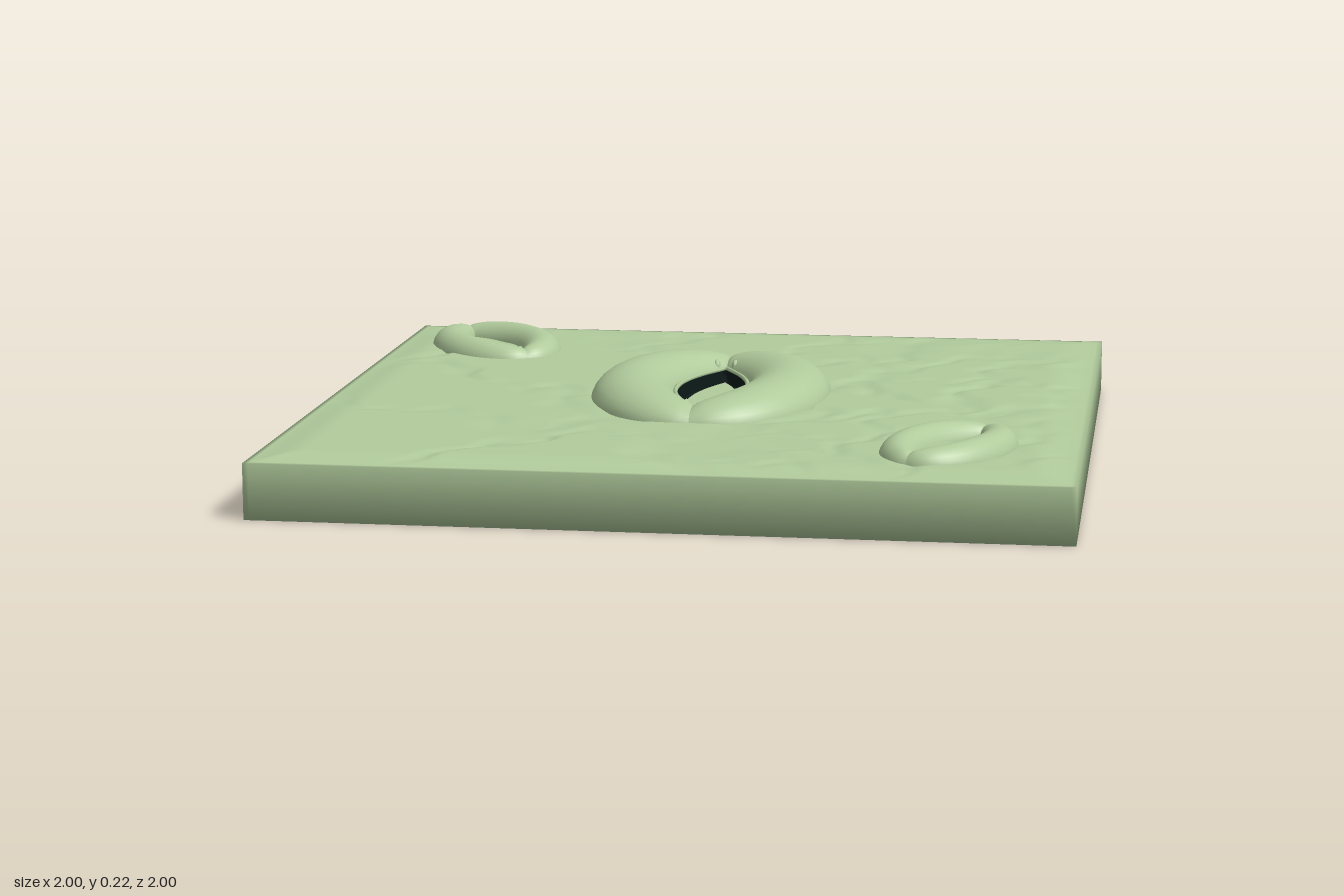
import * as THREE from 'three';

const leaf = new THREE.MeshStandardMaterial({ color: 0xb1cb9c, side: THREE.DoubleSide });
leaf.name = 'leaf green';
const dark = new THREE.MeshStandardMaterial({ color: 0x0c1a18, side: THREE.DoubleSide });
dark.name = 'pore dark';

function seeded(seed) {
  return () => {
    seed = (seed * 16807) % 2147483647;
    return seed / 2147483647;
  };
}

function geometryFrom(positions, indices) {
  const g = new THREE.BufferGeometry();
  g.setAttribute('position', new THREE.Float32BufferAttribute(positions, 3));
  g.setIndex(indices);
  g.computeVertexNormals();
  return g;
}

function addMesh(parent, name, geometry, material) {
  const mesh = new THREE.Mesh(geometry, material);
  mesh.name = name;
  parent.add(mesh);
  return mesh;
}

// Height of the leaf skin: wavy plates separated by shallow creases
const rand = seeded(77);
const cells = Array.from({ length: 34 }, () => [rand() * 2.2 - 1.1, rand() * 2.2 - 1.1, rand()]);
function skinHeight(x, z) {
  const u = x + 0.045 * Math.sin(17 * z + 4 * x) + 0.02 * Math.sin(39 * z - 11 * x);
  const v = z + 0.045 * Math.sin(16 * x - 5 * z + 1) + 0.02 * Math.sin(41 * x + 9 * z);
  let d1 = 9, d2 = 9, tier = 0;
  for (const [cx, cz, h] of cells) {
    const d = Math.hypot(u - cx, v - cz);
    if (d < d1) { d2 = d1; d1 = d; tier = h; } else if (d < d2) d2 = d;
  }
  const plate = THREE.MathUtils.smoothstep(d2 - d1, 0, 0.09);
  const ramp = THREE.MathUtils.smoothstep(1 - Math.max(Math.abs(x), Math.abs(z)), 0, 0.12);
  const y = 0.14 + ramp * (0.009 + plate * (0.004 + 0.005 * tier));
  // sink the floor beneath the central pore
  const pit = 1 - THREE.MathUtils.smoothstep(Math.hypot(x / 0.22, z / 0.37), 0.8, 1);
  return THREE.MathUtils.lerp(y, 0.1, pit);
}

// Slab: bumpy top grid, skirt and underside sharing vertices for soft edges
function slabGeometry(n = 140) {
  const pos = [], idx = [], row = n + 1;
  for (let j = 0; j <= n; j++) for (let i = 0; i <= n; i++) {
    const x = (2 * i) / n - 1, z = (2 * j) / n - 1;
    pos.push(x, skinHeight(x, z), z);
  }
  for (let j = 0; j < n; j++) for (let i = 0; i < n; i++) {
    const a = j * row + i, b = a + 1, c = a + row, d = c + 1;
    idx.push(a, c, b, b, c, d);
  }
  const rim = [];
  for (let k = 0; k < n; k++) rim.push(k);
  for (let k = 0; k < n; k++) rim.push(k * row + n);
  for (let k = n; k > 0; k--) rim.push(n * row + k);
  for (let k = n; k > 0; k--) rim.push(k * row);
  const base = pos.length / 3, m = rim.length;
  rim.forEach((r) => pos.push(pos[3 * r], 0, pos[3 * r + 2]));
  pos.push(0, 0, 0);
  for (let k = 0; k < m; k++) {
    const q = (k + 1) % m;
    idx.push(rim[k], rim[q], base + k, rim[q], base + q, base + k);
    idx.push(base + k, base + q, base + m);
  }
  return geometryFrom(pos, idx);
}

// One curved guard cell: elliptical sections between the pore and outer outline
function guardCellGeometry({ outX, outZ, inX, inZ, high, low }) {
  const pos = [], idx = [], n = 48, m = 28;
  for (let i = 0; i <= n; i++) {
    const t = (i / n - 0.5) * Math.PI, s = Math.sin(t), c = Math.max(0, Math.cos(t));
    const ix = inX * c * c, iz = inZ * s;
    const ox = outX * Math.pow(c, 0.92), oz = outZ * s * (1 - 0.02 * Math.pow(1 - c, 8));
    const ry = low + (high - low) * Math.pow(c, 0.6);
    for (let j = 0; j < m; j++) {
      const p = (j / m) * Math.PI * 2, w = 0.5 + 0.5 * Math.cos(p);
      pos.push(ix + (ox - ix) * w, 0.14 + ry * Math.sin(p), iz + (oz - iz) * w);
    }
  }
  for (let i = 0; i < n; i++) for (let j = 0; j < m; j++) {
    const a = i * m + j, b = i * m + ((j + 1) % m);
    idx.push(a, b, a + m, b, b + m, a + m);
  }
  return geometryFrom(pos, idx);
}

function stoma(name, size, x, z, turn) {
  const group = new THREE.Group();
  group.name = name;
  const geometry = guardCellGeometry(size);
  addMesh(group, 'leftGuardCell', geometry, leaf);
  addMesh(group, 'rightGuardCell', geometry, leaf).rotation.y = Math.PI;
  group.position.set(x, 0, z);
  group.rotation.y = turn;
  return group;
}

// Pointed oval outline
function lensPoints(w, l, y, n = 24) {
  const pts = [];
  for (const side of [1, -1]) for (let i = 0; i < n; i++) {
    const s = side * ((2 * i) / n - 1);
    pts.push(new THREE.Vector3(side * w * (1 - s * s), y, l * s));
  }
  return pts;
}

function lensPlate(w, l, y) {
  const shape = new THREE.Shape(lensPoints(w, l, 0).map((p) => new THREE.Vector2(p.x, -p.z)));
  return new THREE.ShapeGeometry(shape).rotateX(-Math.PI / 2).translate(0, y, 0);
}

function lensWall(w, l, y0, y1) {
  const pts = lensPoints(w, l, 0), pos = [], idx = [], n = pts.length;
  pts.forEach((p) => pos.push(p.x, y0, p.z, p.x, y1, p.z));
  for (let i = 0; i < n; i++) {
    const a = 2 * i, b = 2 * ((i + 1) % n);
    idx.push(a, b, a + 1, b, b + 1, a + 1);
  }
  return geometryFrom(pos, idx);
}

export function createModel() {
  const model = new THREE.Group();
  model.name = 'leafSurface';
  addMesh(model, 'leafSlab', slabGeometry(), leaf);

  // Large open stoma with a dark pore
  const main = stoma('mainStoma',
    { outX: 0.315, outZ: 0.437, inX: 0.09, inZ: 0.29, high: 0.085, low: 0.042 }, 0, 0, 0);
  addMesh(main, 'poreShadow', lensPlate(0.092, 0.285, 0.125), dark);
  addMesh(main, 'poreWall', lensWall(0.088, 0.28, 0.125, 0.162), dark);
  addMesh(main, 'poreFloor', lensPlate(0.066, 0.265, 0.13), leaf);
  const rim = new THREE.CatmullRomCurve3(lensPoints(0.092, 0.285, 0.165), true);
  addMesh(main, 'poreRim', new THREE.TubeGeometry(rim, 96, 0.006, 6, true), leaf);
  // small pegs at both tips of the pore
  for (const sz of [1, -1]) for (const sx of [1, -1]) {
    const peg = addMesh(main, 'porePeg', new THREE.SphereGeometry(0.012, 12, 8), leaf);
    peg.scale.set(0.8, 1.6, 1.4);
    peg.position.set(0.025 * sx, 0.17, 0.288 * sz);
  }
  model.add(main);

  // Two small stomata near opposite corners
  model.add(stoma('backStoma',
    { outX: 0.17, outZ: 0.25, inX: 0.055, inZ: 0.175, high: 0.058, low: 0.038 }, -0.705, -0.618, 0.57));
  model.add(stoma('frontStoma',
    { outX: 0.15, outZ: 0.226, inX: 0.042, inZ: 0.16, high: 0.056, low: 0.036 }, 0.675, 0.645, -0.42));
  return model;
}
